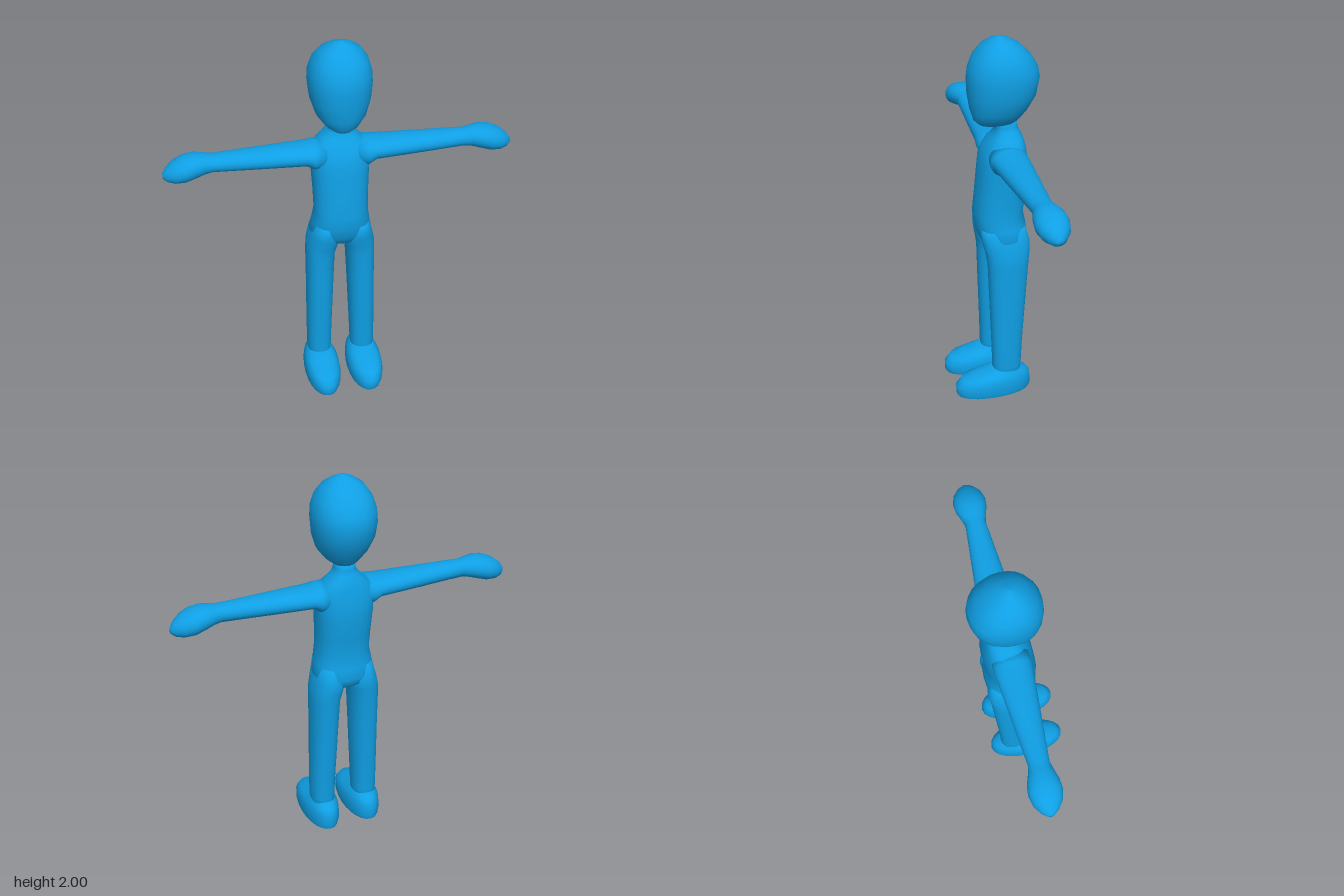
import * as THREE from 'three';

const SIDES = 24;

// Skin rounded cross-sections [t, uCentre, uRadius, vMin, vMax] stacked along an axis.
// axis 'y': u = x, v = z.  axis 'x': u = z, v = y.  A repeated ring gives a sharp edge.
function loft(rings, { axis = 'y', power = 2, mirror = false } = {}) {
  const pos = [], idx = [];
  const put = (u, t, v) => {
    const p = axis === 'y' ? [u, t, v] : [t, v, u];
    pos.push(mirror ? -p[0] : p[0], p[1], p[2]);
  };
  const tri = (a, b, c) => (mirror ? idx.push(a, c, b) : idx.push(a, b, c));
  const round = (s) => Math.sign(s) * Math.abs(s) ** (2 / power);

  for (const [t, uc, ur, v0, v1] of rings) {
    for (let j = 0; j < SIDES; j++) {
      const a = (j / SIDES) * Math.PI * 2;
      put(uc + ur * round(Math.cos(a)), t, (v0 + v1) / 2 + ((v1 - v0) / 2) * round(Math.sin(a)));
    }
  }
  for (let i = 0; i < rings.length - 1; i++) {
    if (rings[i] === rings[i + 1]) continue;
    for (let j = 0; j < SIDES; j++) {
      const a = i * SIDES + j, b = i * SIDES + (j + 1) % SIDES;
      tri(a, a + SIDES, b);
      tri(b, a + SIDES, b + SIDES);
    }
  }
  // End caps
  const last = (rings.length - 1) * SIDES, c0 = rings.length * SIDES;
  for (const r of [rings[0], rings[rings.length - 1]]) put(r[1], r[0], (r[3] + r[4]) / 2);
  for (let j = 0; j < SIDES; j++) {
    const k = (j + 1) % SIDES;
    tri(c0, j, k);
    tri(c0 + 1, last + k, last + j);
  }
  const g = new THREE.BufferGeometry();
  g.setAttribute('position', new THREE.Float32BufferAttribute(pos, 3));
  g.setIndex(idx);
  g.computeVertexNormals();
  return g;
}

export function createModel() {
  const group = new THREE.Group();
  const blue = new THREE.MeshStandardMaterial({ color: 0x0f9fe4 });
  blue.name = 'blue';
  const add = (name, geometry) => {
    const mesh = new THREE.Mesh(geometry, blue);
    mesh.name = name;
    group.add(mesh);
  };

  // Head: egg with a flat face and a sloping nape
  add('head', loft([
    [1.535, 0, 0.04, -0.10, 0.04],
    [1.545, 0, 0.06, -0.12, 0.075],
    [1.57, 0, 0.09, -0.14, 0.10],
    [1.62, 0, 0.127, -0.175, 0.115],
    [1.70, 0, 0.153, -0.22, 0.127],
    [1.78, 0, 0.161, -0.235, 0.13],
    [1.84, 0, 0.158, -0.226, 0.124],
    [1.90, 0, 0.14, -0.19, 0.10],
    [1.95, 0, 0.105, -0.14, 0.06],
    [1.98, 0, 0.06, -0.09, 0.02],
    [1.995, 0, 0.025, -0.055, -0.01],
    [2.0, 0, 0.006, -0.035, -0.025],
  ], { power: 2.2 }));

  // Torso with neck
  add('torso', loft([
    [0.855, 0, 0.08, -0.13, 0.03],
    [0.88, 0, 0.14, -0.16, 0.06],
    [0.92, 0, 0.163, -0.173, 0.082],
    [0.98, 0, 0.151, -0.167, 0.098],
    [1.05, 0, 0.14, -0.152, 0.10],
    [1.15, 0, 0.142, -0.165, 0.09],
    [1.28, 0, 0.149, -0.18, 0.077],
    [1.35, 0, 0.155, -0.173, 0.068],
    [1.40, 0, 0.15, -0.166, 0.05],
    [1.44, 0, 0.125, -0.158, 0.028],
    [1.47, 0, 0.092, -0.15, 0.008],
    [1.50, 0, 0.065, -0.135, -0.008],
    [1.525, 0, 0.052, -0.125, -0.005],
    [1.56, 0, 0.052, -0.125, 0.01],
  ], { power: 2.4 }));

  // Foot outline, sharp only at the sole
  const sole = [0, 0.118, 0.088, -0.168, 0.232];
  for (const side of ['left', 'right']) {
    const mirror = side === 'right';

    add(side + 'Leg', loft([
      [0.08, 0.118, 0.062, -0.12, 0.035],
      [0.16, 0.12, 0.064, -0.12, 0.034],
      [0.30, 0.118, 0.067, -0.126, 0.038],
      [0.60, 0.111, 0.072, -0.147, 0.049],
      [0.78, 0.107, 0.076, -0.16, 0.055],
      [0.84, 0.097, 0.083, -0.168, 0.064],
      [0.90, 0.085, 0.082, -0.172, 0.078],
      [0.98, 0.085, 0.06, -0.15, 0.085],
    ], { power: 2.3, mirror }));

    add(side + 'Foot', loft([
      sole, sole,
      [0.02, 0.118, 0.094, -0.175, 0.24],
      [0.06, 0.118, 0.096, -0.175, 0.24],
      [0.095, 0.118, 0.091, -0.17, 0.21],
      [0.115, 0.118, 0.08, -0.155, 0.14],
      [0.13, 0.118, 0.07, -0.135, 0.08],
      [0.15, 0.119, 0.058, -0.115, 0.03],
    ], { power: 2.1, mirror }));

    // Arm tapers from the shoulder, then swells into a mitten hand
    add(side + 'Arm', loft([
      [0.08, -0.05, 0.095, 1.30, 1.45],
      [0.14, -0.05, 0.099, 1.30, 1.447],
      [0.18, -0.05, 0.094, 1.328, 1.438],
      [0.40, -0.049, 0.075, 1.332, 1.436],
      [0.65, -0.048, 0.053, 1.339, 1.431],
      [0.69, -0.049, 0.063, 1.333, 1.437],
      [0.74, -0.05, 0.08, 1.318, 1.442],
      [0.79, -0.05, 0.085, 1.302, 1.434],
      [0.84, -0.05, 0.072, 1.298, 1.412],
      [0.88, -0.05, 0.042, 1.306, 1.38],
      [0.90, -0.05, 0.014, 1.322, 1.35],
    ], { axis: 'x', power: 2.1, mirror }));
  }
  return group;
}
